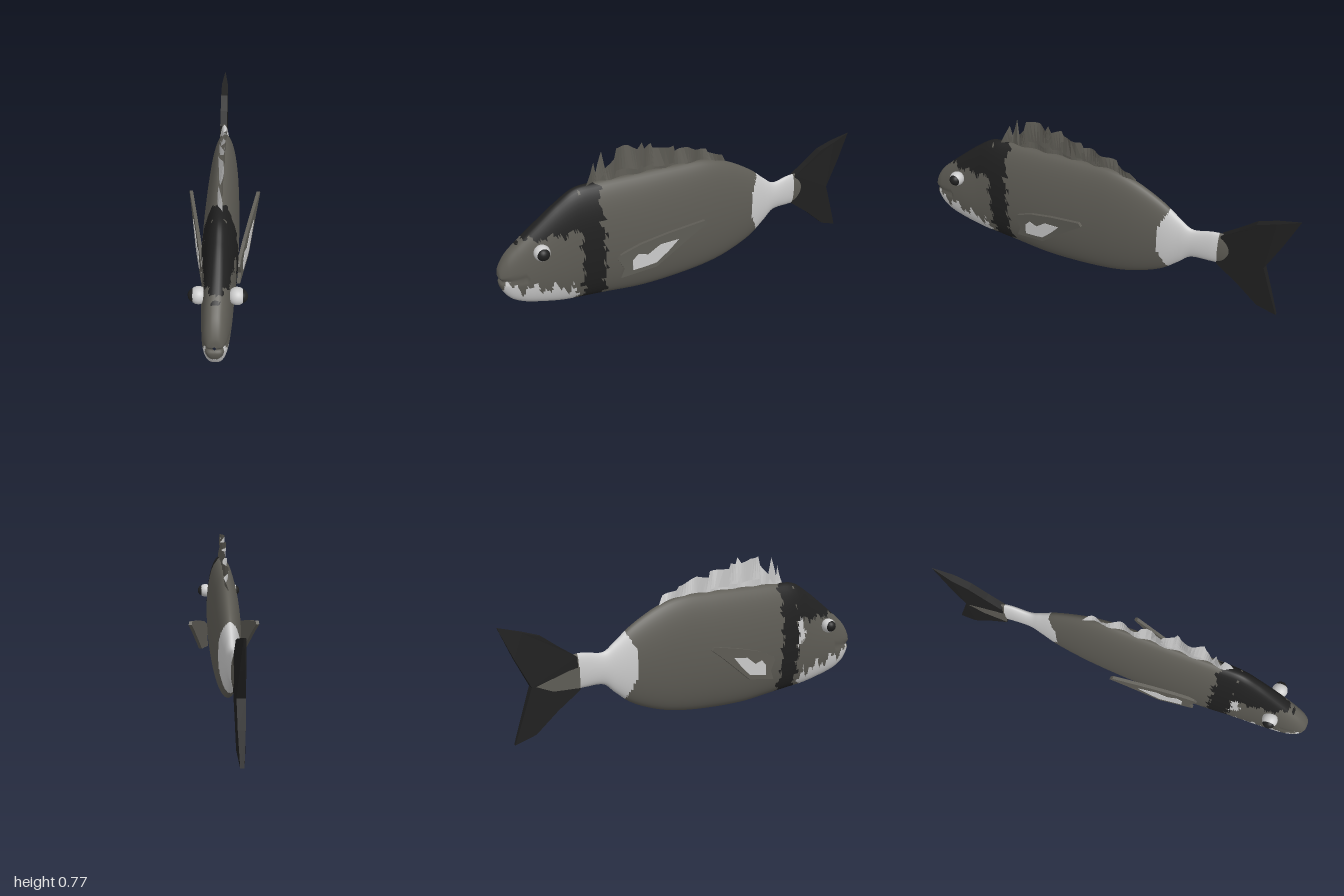
import * as THREE from 'three';

const COLORS = { scale: 0x5e5c55, dark: 0x202020, light: 0xcccccc };
const mat = (key, extra = {}) => new THREE.MeshStandardMaterial({ color: COLORS[key], ...extra });
const lerp = THREE.MathUtils.lerp, clamp = THREE.MathUtils.clamp;

// ragged edge used between the colour patches
const jag = (v) => 0.012 * Math.sin(v * 61) + 0.009 * Math.sin(v * 143 + 1);

// body stations: z, bottom, top, half width, centre x
const STATIONS = [
  [1.0, 0.235, 0.26, 0.008, -0.013], [0.993, 0.195, 0.295, 0.032, -0.013],
  [0.955, 0.135, 0.355, 0.051, -0.013], [0.9, 0.1, 0.405, 0.06, -0.012],
  [0.8, 0.068, 0.485, 0.067, -0.01], [0.7, 0.045, 0.56, 0.071, -0.009],
  [0.61, 0.035, 0.612, 0.077, -0.009], [0.5, 0.025, 0.62, 0.083, -0.009],
  [0.3, 0.005, 0.621, 0.084, -0.009], [0.1, 0.008, 0.62, 0.081, -0.009],
  [-0.08, 0.025, 0.613, 0.074, -0.009], [-0.2, 0.052, 0.58, 0.066, -0.01],
  [-0.35, 0.115, 0.5, 0.05, -0.012], [-0.44, 0.185, 0.43, 0.034, -0.014],
  [-0.5, 0.235, 0.393, 0.026, -0.016], [-0.6, 0.24, 0.408, 0.024, -0.022],
  [-0.66, 0.24, 0.405, 0.021, -0.029], [-0.72, 0.28, 0.37, 0.012, -0.032],
];

// colour patch at a point of the body
function patch(x, y, z) {
  if (z < -0.63) return 'scale';
  if (z < -0.45 || (z < -0.34 - 0.5 * Math.max(0, Math.abs(y - 0.32) - 0.07))) return 'light';
  if (z > 0.5 + jag(y) && z < 0.61 + jag(y + 0.4)) return 'dark';
  if (z < 0.6) return 'scale';
  if (y > 0.42 + jag(z) && z > 0.6) return 'dark';
  if (x < 0 && z < 0.655 - 0.3 * Math.abs(y - 0.36) + jag(y) && y > 0.28) return 'light';
  if (z > 0.65 + jag(y) && y < 0.12 + 0.28 * (z - 0.65) + 2 * jag(z)) return 'light';
  return 'scale';
}

// smooth lofted body, divided into colour patches
function makeBody() {
  const N = 170, M = 56, pos = [], index = [];
  const outline = new THREE.CatmullRomCurve3(STATIONS.map((s) => new THREE.Vector3(s[0], s[1], s[2])));
  const widths = new THREE.CatmullRomCurve3(STATIONS.map((s) => new THREE.Vector3(s[3], s[4], 0)));
  for (let i = 0; i <= N; i++) {
    const o = outline.getPoint(i / N), w = widths.getPoint(i / N);
    const mid = (o.y + o.z) / 2, h = (o.z - o.y) / 2;
    const power = lerp(1, 0.75, clamp((o.x - 0.6) / 0.3, 0, 1));
    for (let j = 0; j < M; j++) {
      const a = (j / M) * Math.PI * 2, c = Math.cos(a);
      const y = mid + h * Math.sin(a);
      // mouth crease
      const mouth = o.x > 0.88 ? Math.exp(-(((y - 0.238) / 0.01) ** 2)) : 0;
      const x = w.x * Math.sign(c) * Math.abs(c) ** power * (1 - 0.1 * mouth);
      pos.push(w.y + x, y, o.x - 0.012 * mouth);
    }
  }
  for (let i = 0; i < N; i++) for (let j = 0; j < M; j++) {
    const k = (j + 1) % M, p = i * M + j, q = i * M + k, r = p + M, s = q + M;
    index.push(p, r, q, q, r, s);
  }
  const whole = new THREE.BufferGeometry();
  whole.setAttribute('position', new THREE.Float32BufferAttribute(pos, 3));
  whole.setIndex(index);
  whole.computeVertexNormals();

  const sets = { scale: [], dark: [], light: [] };
  for (let t = 0; t < index.length; t += 3) {
    const tri = index.slice(t, t + 3);
    const mean = (k) => (pos[tri[0] * 3 + k] + pos[tri[1] * 3 + k] + pos[tri[2] * 3 + k]) / 3;
    sets[patch(mean(0), mean(1), mean(2))].push(...tri);
  }
  const body = new THREE.Group();
  body.name = 'body';
  for (const key in sets) {
    const geo = whole.clone();
    geo.setIndex(sets[key]);
    const mesh = new THREE.Mesh(geo, mat(key));
    mesh.name = key + 'Skin';
    body.add(mesh);
  }
  return body;
}

// thin slab from a (z, y) outline; centre x and thickness vary along z
function slab(name, points, key, centre, thickness) {
  const shape = new THREE.Shape(points.map((p) => new THREE.Vector2(p[0], p[1])));
  const geo = new THREE.ExtrudeGeometry(shape, { depth: 1, bevelEnabled: false });
  geo.translate(0, 0, -0.5).rotateY(-Math.PI / 2);
  const p = geo.attributes.position;
  for (let i = 0; i < p.count; i++) {
    const z = p.getZ(i);
    p.setX(i, centre(z) + p.getX(i) * thickness(z));
  }
  geo.computeVertexNormals();
  const mesh = new THREE.Mesh(geo, mat(key));
  mesh.name = name;
  return mesh;
}

// ragged, wavy dorsal fin with a light right face and a dull left face
function makeDorsalFin() {
  const edge = [
    [0.555, 0.615], [0.505, 0.715], [0.495, 0.66], [0.462, 0.76], [0.45, 0.675], [0.41, 0.72],
    [0.396, 0.768], [0.33, 0.765], [0.29, 0.742], [0.268, 0.775], [0.255, 0.74], [0.21, 0.752],
    [0.2, 0.725], [0.095, 0.72], [0.085, 0.69], [0.02, 0.7], [-0.02, 0.68], [-0.09, 0.665],
    [-0.1, 0.645], [-0.17, 0.625], [-0.205, 0.575],
  ];
  const fin = new THREE.Group();
  fin.name = 'dorsalFin';
  for (const side of [-1, 1]) {
    const pos = [], index = [];
    for (let e = 0; e < edge.length - 1; e++) for (let s = 0; s < 4; s++) {
      const z = lerp(edge[e][0], edge[e + 1][0], s / 4), top = lerp(edge[e][1], edge[e + 1][1], s / 4);
      for (const f of [0, 0.5, 1]) {
        const wave = 0.014 * f * Math.sin(z * 45 + f * 2);
        pos.push(-0.008 + wave + side * 0.006 * (1 - f), lerp(0.54, top, f), z);
      }
    }
    for (let i = 0; i + 5 < pos.length / 3; i += 3) for (let k = 0; k < 2; k++) {
      const a = i + k, b = a + 1, c = a + 3, d = a + 4;
      index.push(...(side > 0 ? [a, c, b, b, c, d] : [a, b, c, b, d, c]));
    }
    const geo = new THREE.BufferGeometry();
    geo.setAttribute('position', new THREE.Float32BufferAttribute(pos, 3));
    geo.setIndex(index);
    geo.computeVertexNormals();
    const face = new THREE.Mesh(geo, mat(side < 0 ? 'light' : 'scale', { flatShading: true }));
    face.name = side < 0 ? 'rightFace' : 'leftFace';
    fin.add(face);
  }
  return fin;
}

function makeTail() {
  const tail = new THREE.Group();
  tail.name = 'tailFin';
  const thick = (z) => 0.038 * clamp((z + 1.0) / 0.12, 0.04, 1);
  tail.add(slab('forkedFin', [
    [-0.64, 0.4], [-0.72, 0.455], [-0.8, 0.515], [-0.89, 0.545], [-0.995, 0.577], [-0.93, 0.43],
    [-0.86, 0.29], [-0.9, 0.17], [-0.947, 0.03], [-0.85, 0.065], [-0.74, 0.16], [-0.63, 0.24],
  ], 'dark', () => -0.032, thick));
  // dull wedge on the right face
  tail.add(slab('finWedge', [[-0.63, 0.25], [-0.63, 0.35], [-0.68, 0.34], [-0.84, 0.29], [-0.76, 0.255]],
    'scale', () => -0.05, () => 0.006));
  return tail;
}

function makePectoralFin(side) {
  const fin = new THREE.Group();
  fin.name = side > 0 ? 'leftPectoralFin' : 'rightPectoralFin';
  const root = side > 0 ? 0.076 : -0.094, tip = side > 0 ? 0.168 : -0.174;
  const centre = (z) => lerp(tip, root, z / 0.43);
  fin.add(slab('blade', [
    [0.445, 0.235], [0.43, 0.255], [0.33, 0.3], [0.2, 0.338], [0.02, 0.38], [0.005, 0.365],
    [0.08, 0.31], [0.18, 0.23], [0.26, 0.165], [0.34, 0.15], [0.435, 0.13], [0.415, 0.18],
  ], 'scale', centre, () => 0.016));
  fin.add(slab('palePatch', [
    [0.375, 0.22], [0.345, 0.25], [0.3, 0.24], [0.24, 0.285], [0.15, 0.3],
    [0.2, 0.245], [0.26, 0.19], [0.3, 0.18], [0.375, 0.165],
  ], 'light', (z) => centre(z) + side * 0.005, () => 0.01));
  return fin;
}

function makeEye(side) {
  const eye = new THREE.Group();
  eye.name = side > 0 ? 'leftEye' : 'rightEye';
  const ball = new THREE.Mesh(new THREE.SphereGeometry(0.038, 24, 16), mat('light'));
  ball.name = 'eyeball';
  const pupil = new THREE.Mesh(new THREE.SphereGeometry(0.031, 24, 16), mat('dark'));
  pupil.name = 'pupil';
  pupil.position.x = side * 0.014;
  eye.add(ball, pupil);
  eye.position.set(-0.006 + side * 0.08, 0.369, 0.808);
  return eye;
}

export function createModel() {
  const fish = new THREE.Group();
  fish.name = 'fish';
  fish.add(makeBody(), makeDorsalFin(), makeTail());
  for (const side of [-1, 1]) fish.add(makePectoralFin(side), makeEye(side));
  return fish;
}
